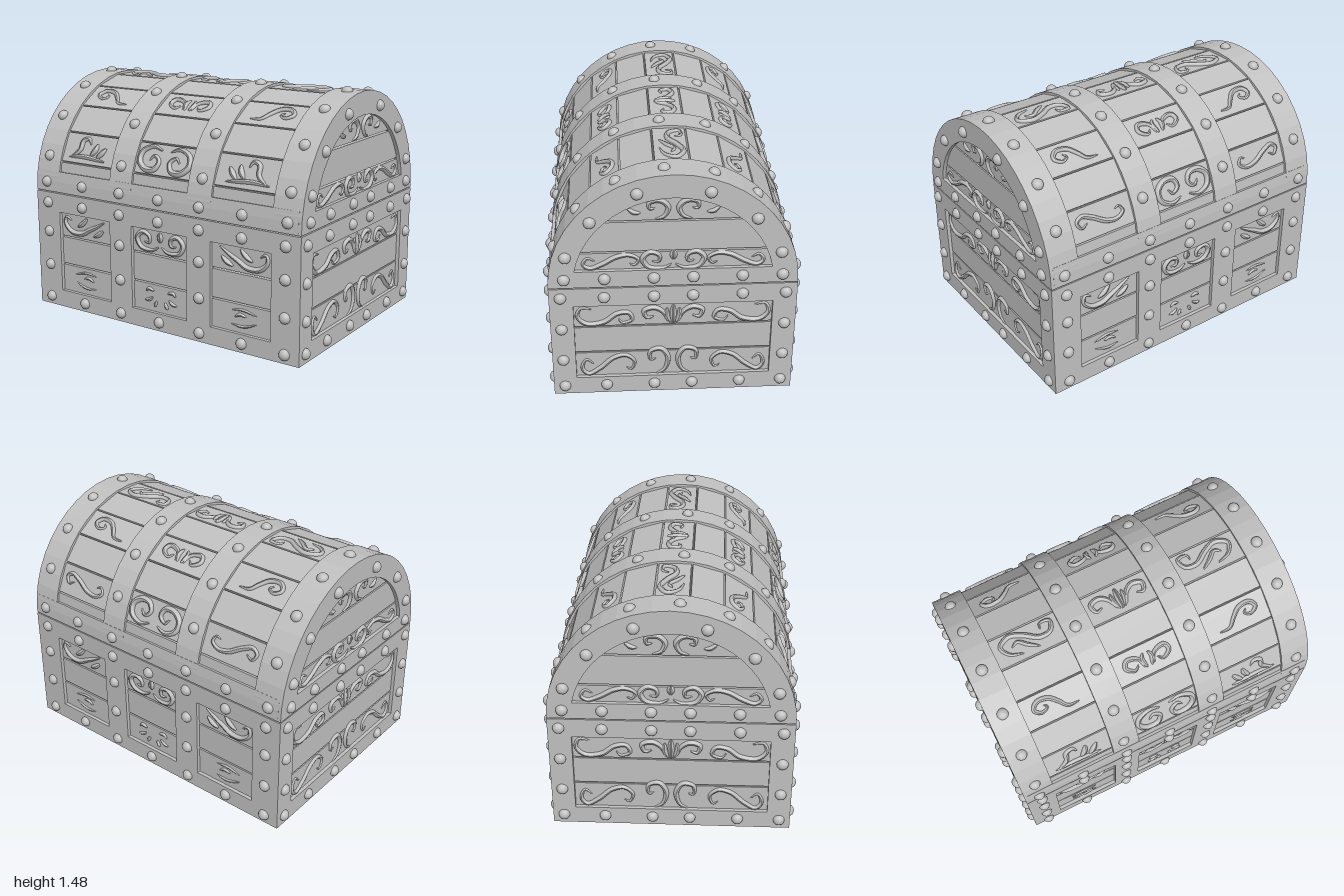
import * as THREE from 'three';

const grey = new THREE.MeshStandardMaterial({ color: 0xc0c0c0 });
grey.name = 'weathered grey';

const R = 0.7, BASE = 0.75;            // lid radius and hinge height
const HALF_X = 0.97, STEP = Math.PI / 11; // half length, angle of one lid plank

function add(parent, geo, name, x = 0, y = 0, z = 0) {
  const m = new THREE.Mesh(geo, grey);
  m.name = name;
  m.position.set(x, y, z);
  parent.add(m);
  return m;
}
const box = (p, name, w, h, d, x, y, z) => add(p, new THREE.BoxGeometry(w, h, d), name, x, y, z);

function group(parent, name) {
  const g = new THREE.Group();
  g.name = name;
  parent.add(g);
  return g;
}

// Upright face looking along +z after a turn about y
function face(parent, name, turn, dist) {
  const g = group(parent, name);
  g.rotation.y = turn;
  g.position.set(Math.sin(turn) * dist, 0, Math.cos(turn) * dist);
  return g;
}

// Rivet dome pointing along +z
const rivetGeo = new THREE.SphereGeometry(0.034, 14, 6, 0, Math.PI * 2, 0, Math.PI / 2);
rivetGeo.rotateX(Math.PI / 2).scale(1, 1, 0.88);
const rivet = (p, x, y, z = 0) => add(p, rivetGeo, 'rivet', x, y, z);

// Tapered, flattened carving along a planar curve
function stroke(parent, pts, w, x, y, mx, my) {
  const curve = new THREE.CatmullRomCurve3(pts.map(([u, v]) => new THREE.Vector3(x + u * mx, y + v * my, 0)));
  const n = pts.length * 6, sides = 8;
  const geo = new THREE.TubeGeometry(curve, n, w, sides);
  const pos = geo.attributes.position, v = new THREE.Vector3();
  for (let i = 0; i <= n; i++) {
    const c = curve.getPointAt(i / n);
    const s = 0.2 + 0.8 * Math.pow(Math.max(0, Math.sin(Math.PI * i / n)), 0.7);
    for (let j = 0; j <= sides; j++) {
      const k = i * (sides + 1) + j;
      v.fromBufferAttribute(pos, k).sub(c).multiplyScalar(s).add(c);
      pos.setXYZ(k, v.x, v.y, v.z);
    }
  }
  geo.computeVertexNormals();
  add(parent, geo, 'carving');
}

// Carving motifs: strokes of [width, points]
const scroll = [[0.016, [[-0.08, 0.05], [-0.14, 0.058], [-0.16, 0], [-0.11, -0.05], [-0.01, -0.04], [0.065, 0.015], [0.13, 0.02], [0.15, -0.03], [0.095, -0.05], [0.07, -0.02]]]];
const wave = [[0.015, [[-0.09, 0], [-0.13, 0.02], [-0.155, -0.02], [-0.12, -0.045], [-0.05, -0.02], [0.03, 0.025], [0.1, 0.035], [0.15, 0.005], [0.13, -0.03], [0.1, -0.02]]]];
const curl = [[0.015, [[0.13, -0.05], [0.06, -0.045], [0.02, 0], [-0.03, 0.045], [-0.1, 0.05], [-0.13, 0.01], [-0.09, -0.02], [-0.05, 0], [-0.07, 0.02]]]];
const sprout = [[0.014, [[-0.15, -0.06], [-0.03, -0.05], [0.14, -0.065]]],
  [0.016, [[-0.13, -0.06], [-0.07, -0.01], [-0.06, 0.05], [-0.02, 0.065], [0.005, 0.03]]],
  [0.018, [[0.02, -0.04], [0.05, 0], [0.06, 0.04]]], [0.018, [[0.07, -0.05], [0.1, -0.02], [0.13, 0.02]]]];
const flourish = [[0.017, [[-0.04, -0.06], [-0.12, -0.03], [-0.15, 0.03], [-0.08, 0.07], [0, 0.04], [0.08, -0.01], [0.15, 0], [0.17, 0.06], [0.11, 0.065], [0.1, 0.03]]],
  [0.013, [[-0.09, 0], [-0.05, 0.02], [0, -0.02], [0.06, -0.06]]]];
const leafScroll = [[0.017, [[-0.11, 0.03], [-0.15, 0.05], [-0.16, 0.01], [-0.11, -0.04], [-0.03, -0.045], [0.04, -0.01], [0.1, 0.02], [0.16, 0.055]]],
  [0.016, [[0.07, -0.05], [0.11, -0.03], [0.15, 0]]], [0.016, [[-0.06, -0.005], [-0.02, 0.02], [0.02, 0.06]]]];
const wisps = [[0.008, [[-0.09, 0.03], [0, 0.05], [0.08, 0.04]]], [0.008, [[-0.09, -0.02], [0, -0.05], [0.08, -0.045]]],
  [0.01, [[-0.02, 0.01], [0.02, 0.02], [0.06, 0]]]];
// Half motifs, mirrored about their centre
const bigC = [[0.019, [[0.03, 0.055], [0.1, 0.075], [0.17, 0.04], [0.18, -0.02], [0.13, -0.065], [0.06, -0.06], [0.04, -0.01], [0.08, 0.02], [0.11, -0.01]]]];
const butterfly = [[0.015, [[0.03, -0.04], [0.05, 0.02], [0.12, 0.04], [0.14, 0], [0.09, -0.035], [0.06, -0.01]]],
  [0.014, [[0.015, 0.045], [0.03, 0.01], [0.015, -0.045]]]];
const fan = [[0.016, [[0.03, -0.05], [0.06, 0.02], [0.11, 0.05], [0.165, 0.03], [0.15, -0.02], [0.11, -0.01]]],
  [0.014, [[0.003, -0.065], [0.005, 0], [0.003, 0.065]]], [0.014, [[0.015, -0.06], [0.035, -0.01], [0.035, 0.045]]]];
const spirals = [[0.016, [[0.01, -0.03], [0.06, -0.055], [0.14, -0.045], [0.17, 0.01], [0.13, 0.05], [0.08, 0.03], [0.08, -0.01], [0.12, -0.01]]],
  [0.013, [[0.003, 0], [0.008, 0.03], [0.003, 0.06]]]];
const cPair = [[0.016, [[0.1, -0.055], [0.05, -0.035], [0.03, 0.02], [0.07, 0.06], [0.13, 0.05], [0.13, 0.01], [0.1, 0.015]]]];
const cLeaf = [...cPair, [0.014, [[0.18, -0.015], [0.215, -0.01], [0.25, 0.015]]]];
const petals = [[0.011, [[0.03, -0.02], [0.04, -0.04], [0.05, -0.06]]], [0.011, [[0.06, 0], [0.09, -0.02], [0.12, -0.025]]],
  [0.011, [[0.05, 0.04], [0.09, 0.05], [0.11, 0.03]]]];

// One centre motif and a mirrored pair beside it
function carveRow(parent, y, centre, side, offset, my = 1) {
  for (const m of [1, -1]) {
    for (const [w, pts] of centre) stroke(parent, pts, w, 0, y, m, my);
    for (const [w, pts] of side) stroke(parent, pts, w, -m * offset, y, m, my);
  }
}

// Flat frame with rectangular openings, its front at z = 0
function frameGeo(halfW, top, holes, depth) {
  const rect = (s, x0, y0, x1, y1) => s.moveTo(x0, y0).lineTo(x1, y0).lineTo(x1, y1).lineTo(x0, y1).closePath();
  const shape = rect(new THREE.Shape(), -halfW, 0, halfW, top);
  for (const h of holes) shape.holes.push(rect(new THREE.Path(), ...h));
  return new THREE.ExtrudeGeometry(shape, { depth, bevelEnabled: false }).translate(0, 0, -depth);
}

// Curved strap over the lid, spanning angles a0..a1 (outline in z,y turned to run along x)
function strapGeo(a0, a1, r0, r1, length, seg) {
  const shape = new THREE.Shape();
  for (let i = 0; i <= seg; i++) {
    const a = a0 + (a1 - a0) * i / seg;
    shape[i ? 'lineTo' : 'moveTo'](Math.cos(a) * r1, Math.sin(a) * r1);
  }
  for (let i = seg; i >= 0; i--) {
    const a = a0 + (a1 - a0) * i / seg;
    shape.lineTo(Math.cos(a) * r0, Math.sin(a) * r0);
  }
  return new THREE.ExtrudeGeometry(shape, { depth: length, bevelEnabled: false })
    .translate(0, 0, -length / 2).rotateY(Math.PI / 2);
}

function buildBody(root) {
  const body = group(root, 'body');
  box(body, 'innerCore', 1.88, 0.72, 1.3, 0, 0.38, 0);
  for (let i = 0; i < 8; i++) box(body, 'bottomPlank', 1.86, 0.03, 0.157, 0, 0.021, (i - 3.5) * 0.165);
  const rows = [[0.1, 0.285], [0.285, 0.467], [0.467, 0.64]];
  // Front and back
  for (const turn of [0, Math.PI]) {
    const f = face(body, turn ? 'backFace' : 'frontFace', turn, R);
    const holes = [-0.578, 0, 0.578].map(x => [x - 0.205, 0.11, x + 0.205, 0.625]);
    add(f, frameGeo(HALF_X, 0.746, holes, 0.04), 'frame');
    for (const [a, b] of rows) box(f, 'plank', 1.86, b - a - 0.01, 0.04, 0, (a + b) / 2, -0.042);
    for (const x of [-0.875, -0.59, -0.295, 0, 0.295, 0.59, 0.875]) for (const y of [0.055, 0.68]) rivet(f, x, y);
    for (const x of [-0.875, -0.295, 0.295, 0.875]) for (const y of [0.27, 0.49]) rivet(f, x, y);
    const c = group(f, 'carvings');
    c.position.z = -0.02;
    carveRow(c, 0.55, spirals, leafScroll, 0.59);
    carveRow(c, 0.2, petals, wisps, 0.59);
  }
  // Ends
  for (const s of [1, -1]) {
    const f = face(body, s > 0 ? 'leftEnd' : 'rightEnd', s * Math.PI / 2, HALF_X);
    add(f, frameGeo(0.66, 0.746, [[-0.565, 0.115, 0.565, 0.625]], 0.04), 'frame');
    for (const [a, b] of rows) box(f, 'plank', 1.25, b - a - 0.01, 0.04, 0, (a + b) / 2, -0.042);
    for (const z of [-0.635, -0.39, -0.11, 0.11, 0.39, 0.635]) for (const y of [0.06, 0.685]) rivet(f, z, y);
    for (const z of [-0.637, 0.637]) for (const y of [0.25, 0.47]) rivet(f, z, y);
    const c = group(f, 'carvings');
    c.position.z = -0.022;
    carveRow(c, 0.54, fan, scroll, 0.385);
    carveRow(c, 0.2, cPair, wave, 0.375, 1.6);
  }
}

function buildLid(root) {
  const lid = group(root, 'lid');
  lid.position.y = BASE + 0.003;
  add(lid, strapGeo(0, Math.PI, 0.02, 0.662, 1.84, 22), 'innerCore');
  box(lid, 'lidFloor', 1.84, 0.02, 1.3, 0, 0.011, 0);
  // Straps and lower rims
  for (const x of [-0.877, -0.29, 0.29, 0.877]) {
    const w = Math.abs(x) > 0.5 ? 0.186 : 0.17;
    add(lid, strapGeo(0, Math.PI, 0.64, R, w, 22), 'strap', x);
  }
  for (const a of [0, Math.PI - 0.188]) add(lid, strapGeo(a, a + 0.188, 0.64, R, 1.9, 2), 'rim');
  // Curved row of planks, every second one carved
  const centres = { 1: bigC, 3: butterfly, 5: fan, 7: butterfly, 9: bigC };
  const sides = { 1: sprout, 3: curl, 5: flourish, 7: curl, 9: wave };
  for (let i = 0; i < 11; i++) {
    const g = group(lid, 'lidPlank');
    g.rotation.x = -(i + 0.5) * STEP;
    box(g, 'plank', 1.86, 0.186, 0.04, 0, 0, 0.662);
    if (!centres[i]) continue;
    const c = group(g, 'carvings');
    c.position.z = 0.684;
    carveRow(c, 0, centres[i], sides[i], 0.585, i === 7 ? -1 : 1);
  }
  // Strap rivets
  for (let k = 0; k < 7; k++) {
    const g = group(lid, 'strapRivets');
    g.rotation.x = -THREE.MathUtils.degToRad(18.5 + k * 22.5);
    for (const x of [-0.882, -0.298, 0.298, 0.882]) rivet(g, x, 0, R - 0.003);
  }
  for (const turn of [0, Math.PI]) {
    const f = face(lid, 'rimRivets', turn, R - 0.004);
    for (const x of [-0.882, -0.59, -0.295, 0, 0.295, 0.59, 0.882]) rivet(f, x, 0.06);
  }
  // Arched ends
  const arch = new THREE.Shape(), hole = new THREE.Path();
  for (let i = 0; i <= 22; i++) {
    const a = Math.PI * i / 22;
    arch[i ? 'lineTo' : 'moveTo'](Math.cos(a) * R, Math.sin(a) * R);
  }
  const a0 = Math.asin(0.105 / 0.56);
  for (let i = 0; i <= 22; i++) {
    const a = a0 + (Math.PI - 2 * a0) * i / 22;
    hole[i ? 'lineTo' : 'moveTo'](Math.cos(a) * 0.56, Math.sin(a) * 0.56);
  }
  arch.holes.push(hole);
  const archGeo = new THREE.ExtrudeGeometry(arch, { depth: 0.04, bevelEnabled: false }).translate(0, 0, -0.04);
  for (const s of [1, -1]) {
    const f = face(lid, s > 0 ? 'leftArch' : 'rightArch', s * Math.PI / 2, HALF_X);
    add(f, archGeo, 'archFrame');
    for (const [a, b, w] of [[0.09, 0.215, 0.58], [0.215, 0.41, 0.53], [0.41, 0.572, 0.38]])
      box(f, 'plank', w * 2, b - a - 0.01, 0.04, 0, (a + b) / 2, -0.042);
    for (const z of [0.11, 0.385, 0.61]) { rivet(f, z, 0.055); rivet(f, -z, 0.055); }
    for (const [z, y] of [[0.597, 0.2], [0.455, 0.42], [0.198, 0.59]]) { rivet(f, z, y); rivet(f, -z, y); }
    const c = group(f, 'carvings');
    c.position.z = -0.022;
    carveRow(c, 0.16, spirals, wave, 0.345);
    carveRow(c, 0.475, cLeaf, [], 0);
  }
}

export function createModel() {
  const root = new THREE.Group();
  root.name = 'treasureChest';
  buildBody(root);
  buildLid(root);
  return root;
}
